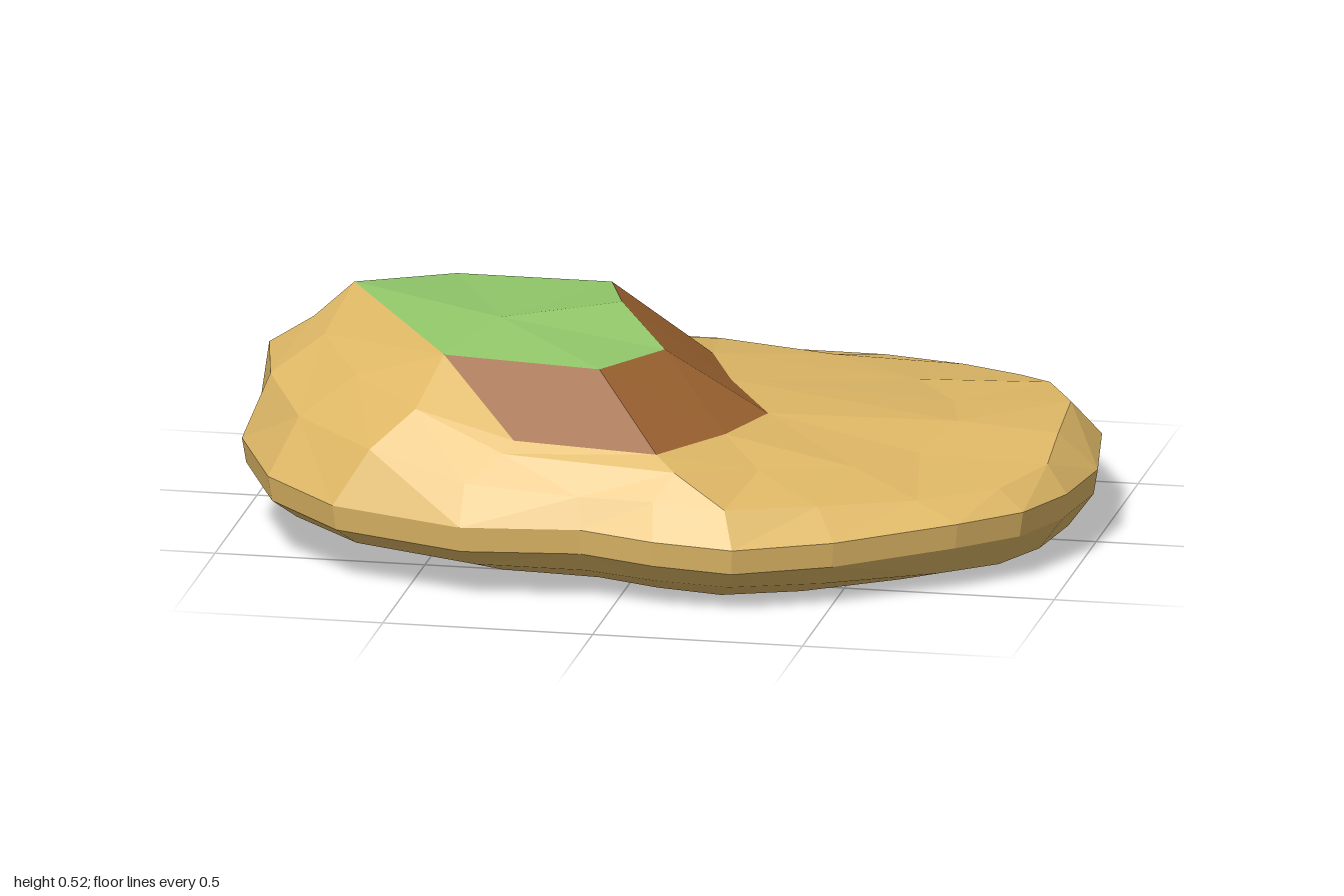
import * as THREE from 'three';

const material = (name, color) => {
  const m = new THREE.MeshStandardMaterial({ color, flatShading: true, side: THREE.DoubleSide });
  m.name = name;
  return m;
};

const closed = (ring) => [...ring, ring[0]];
const dist = (a, b) => Math.hypot(a[0] - b[0], a[1] - b[1], a[2] - b[2]);

// Stitches two paths into facets, always taking the shorter diagonal.
function stitch(outer, inner) {
  const tris = [];
  let i = 0, j = 0;
  while (i < outer.length - 1 || j < inner.length - 1) {
    const canOuter = i < outer.length - 1, canInner = j < inner.length - 1;
    const takeOuter = canOuter && (!canInner || dist(outer[i + 1], inner[j]) <= dist(outer[i], inner[j + 1]));
    const t = takeOuter ? [outer[i + 1], outer[i], inner[j]] : [outer[i], inner[j], inner[j + 1]];
    if (takeOuter) i++; else j++;
    if (dist(t[0], t[1]) && dist(t[1], t[2]) && dist(t[2], t[0])) tris.push(...t);
  }
  return tris;
}

function facets(name, points, mat) {
  const g = new THREE.BufferGeometry();
  g.setAttribute('position', new THREE.Float32BufferAttribute(points.flat(), 3));
  g.computeVertexNormals();
  const mesh = new THREE.Mesh(g, mat);
  mesh.name = name;
  return mesh;
}

export function createModel() {
  const sand = material('sand', 0xdfb866);
  const earth = material('brown earth', 0x9b6230);
  const grass = material('green grass', 0x93c96b);

  // Widest outline of the island, from the right side round the back
  const waist = [
    [-1, .23, -.05], [-.98, .2, -.31], [-.88, .17, -.46], [-.63, .15, -.65], [-.36, .13, -.78],
    [0, .13, -.775], [.36, .13, -.8], [.53, .14, -.79], [.73, .16, -.69], [.84, .17, -.54],
    [.95, .17, -.32], [1, .17, -.02], [.97, .17, .2], [.9, .17, .37], [.77, .17, .5],
    [.51, .16, .68], [.29, .16, .79], [.1, .17, .79], [-.08, .18, .755], [-.36, .18, .79],
    [-.68, .19, .7], [-.87, .2, .52], [-.98, .22, .28],
  ];

  // Upper edge of the outer slope
  const shoulder = [
    [-.975, .37, -.02], [-.95, .25, -.29], [-.86, .23, -.42], [-.62, .22, -.6], [-.34, .22, -.71],
    [0, .22, -.71], [.35, .21, -.74], [.54, .2, -.73], [.7, .22, -.6], [.8, .25, -.45],
    [.89, .265, -.25], [.91, .26, 0], [.92, .235, .18], [.84, .22, .35], [.67, .22, .49],
    [.46, .23, .62], [.26, .24, .73], [.09, .25, .73], [-.09, .25, .72], [-.36, .27, .73],
    [-.6, .32, .66], [-.81, .33, .45], [-.92, .37, .24],
  ];

  // Gentle beach between the slope and the hill
  const beach = [
    [-.86, .45, .02], [-.905, .255, -.31], [-.64, .245, -.55], [-.3, .28, -.55], [0, .295, -.51],
    [.28, .28, -.48], [.5, .26, -.38], [.62, .265, -.2], [.67, .275, 0], [.62, .25, .2],
    [.5, .26, .38], [.3, .28, .52], [.13, .31, .68], [-.28, .33, .67], [-.5, .41, .61],
    [-.68, .43, .42], [-.8, .46, .2],
  ];

  // Rim of the grass plateau and the foot of the cliff below it
  const plateau = [
    [-.78, .515, -.06], [-.59, .47, -.33], [-.21, .485, -.28], [-.13, .52, 0],
    [.02, .48, .24], [-.09, .49, .47], [-.46, .505, .47],
  ];
  const cliffFoot = [
    plateau[0], [-.89, .27, -.32], [-.62, .26, -.53], [-.28, .31, -.46], [-.05, .335, -.36],
    [.04, .34, -.23], [.13, .345, 0], [.26, .33, .21], [.2, .335, .42], [.08, .34, .64],
    [-.26, .355, .64], plateau[6],
  ];

  // Underside curls inward to an open rim, less so along the back
  const curl = (z) => .8 + .14 * THREE.MathUtils.smoothstep(-z, .25, .75);
  const lowerWaist = waist.map(([x, y, z]) => [x * .99, y - .06, z * .99]);
  const belly = waist.map(([x, , z]) => {
    const k = Math.max(.93, curl(z) + .02);
    return [x * k, .065 - .035 * x, z * k];
  });
  const rim = waist.map(([x, , z]) => {
    const k = curl(z);
    return [x * k, Math.max(0, .02 - .05 * x) + Math.max(0, .03 - .1 * Math.abs(z)), z * k];
  });

  const group = new THREE.Group();
  group.name = 'island';

  const rings = [rim, belly, lowerWaist, waist, shoulder, beach, cliffFoot].map(closed);
  const shore = [];
  for (let r = 0; r < rings.length - 1; r++) shore.push(...stitch(rings[r], rings[r + 1]));
  group.add(facets('sandShore', shore, sand));

  group.add(facets('earthCliff', stitch(cliffFoot, plateau), earth));

  const crown = [-.38, .525, .2];
  group.add(facets('grassTop', stitch(closed(plateau), [crown]), grass));
  return group;
}
